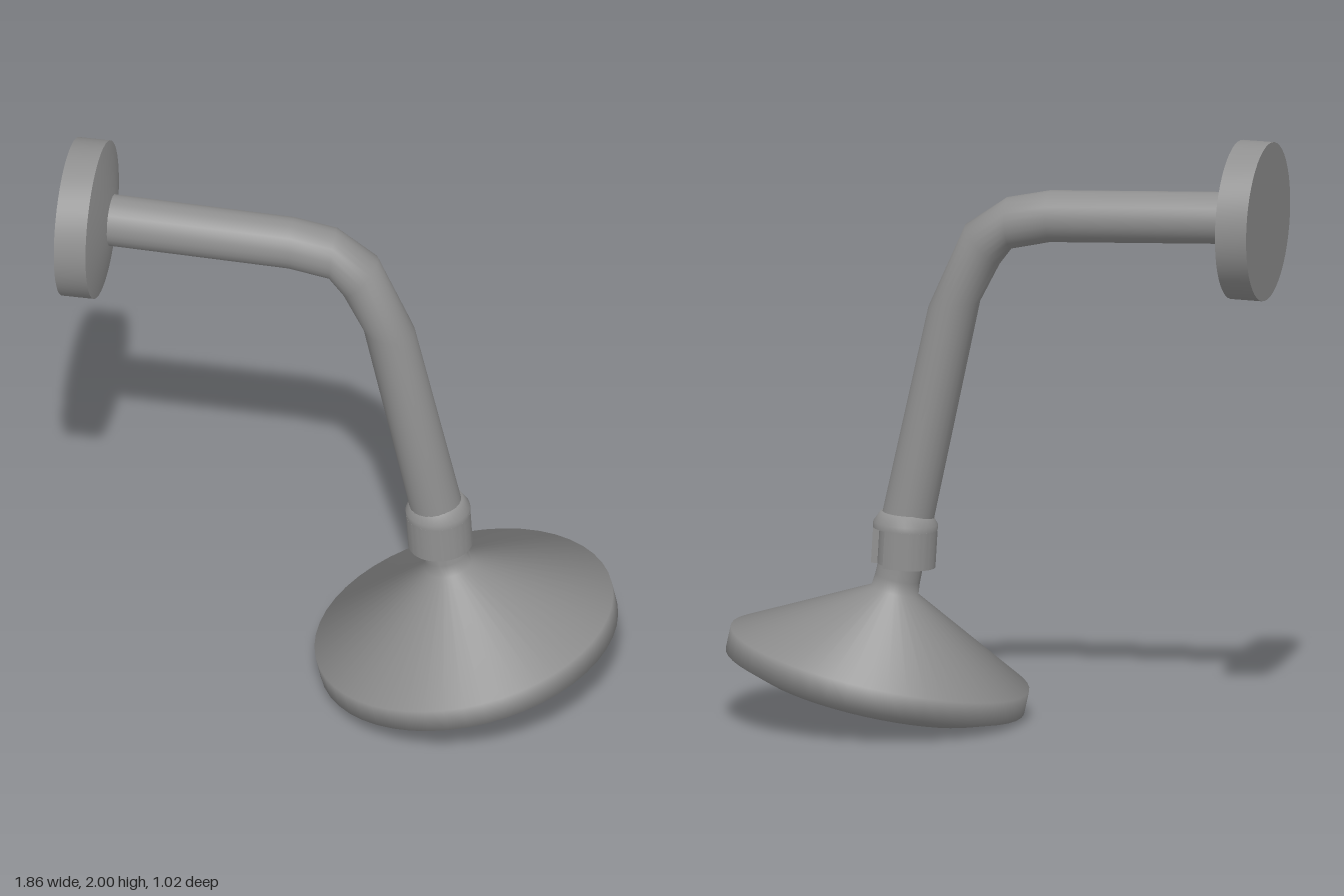
import * as THREE from 'three';
import { toCreasedNormals } from 'three/addons/utils/BufferGeometryUtils.js';

const material = new THREE.MeshStandardMaterial({ color: 0x909090, side: THREE.DoubleSide });

function part(name, geometry, parent, crease = 0.5) {
  const mesh = new THREE.Mesh(toCreasedNormals(geometry, crease), material);
  mesh.name = name;
  parent.add(mesh);
  return mesh;
}

// Turned part; profile runs from bottom to top as [radius, height]
function turned(profile, segments = 36) {
  return new THREE.LatheGeometry(profile.map(([r, y]) => new THREE.Vector2(r, y)), segments);
}

// Straight segments through stations [x, y, z, downward angle of the ring in degrees]
class BentPath extends THREE.Curve {
  constructor(stations) {
    super();
    this.stations = stations;
  }
  station(t) {
    return this.stations[Math.round(t * (this.stations.length - 1))];
  }
  getPointAt(t) {
    const [x, y, z] = this.station(t);
    return new THREE.Vector3(x, y, z);
  }
  getTangentAt(t) {
    const angle = THREE.MathUtils.degToRad(this.station(t)[3]);
    return new THREE.Vector3(Math.cos(angle), -Math.sin(angle), 0);
  }
}

export function createModel() {
  const model = new THREE.Group();
  model.name = 'showerHead';

  // Wall flange, its axis pointing out along +x
  const flange = part('wallFlange', turned([
    [0, 0], [0.266, 0], [0.266, 0.108], [0.09, 0.142], [0, 0.142],
  ], 48), model, 0.3);
  flange.position.set(-0.912, 1.733, -0.027);
  flange.quaternion.setFromUnitVectors(
    new THREE.Vector3(0, 1, 0),
    new THREE.Vector3(1, 0.025, 0.075).normalize(),
  );

  // Bent supply arm
  const path = new BentPath([
    [-0.8, 1.74, -0.018, 1], [-0.165, 1.72, 0.003, 2], [-0.025, 1.692, 0.005, 5],
    [0.068, 1.615, 0.015, 42], [0.165, 1.41, 0.021, 96], [0.325, 0.66, 0.003, 79],
  ]);
  part('arm', new THREE.TubeGeometry(path, 5, 0.087, 24), model, 1);

  // Swivel collar with a slot cut in one side
  const collar = new THREE.Group();
  collar.name = 'collar';
  collar.position.set(0.335, 0.522, 0);
  collar.rotation.z = 0.06;
  model.add(collar);
  part('collarTop', turned([[0, 0.125], [0.108, 0.125], [0.108, 0.145], [0.086, 0.18], [0, 0.18]]), collar, 1.1);
  part('collarCore', turned([[0, 0.004], [0.086, 0.004], [0.086, 0.13]]), collar);
  const start = THREE.MathUtils.degToRad(62);
  const end = THREE.MathUtils.degToRad(365);
  const ring = new THREE.Shape();
  ring.absarc(0, 0, 0.108, start, end, false);
  ring.absarc(0, 0, 0.08, end, start, true);
  ring.closePath();
  const skirt = new THREE.ExtrudeGeometry(ring, { depth: 0.126, bevelEnabled: false, curveSegments: 32 });
  part('collarSkirt', skirt.rotateX(-Math.PI / 2), collar);

  // Tilted spray head with its neck, shaded smoothly around the rim
  const head = new THREE.Group();
  head.name = 'sprayHead';
  head.position.set(0.439, 0.0895, 0);
  head.rotation.z = 0.216;
  model.add(head);
  part('headShell', turned([
    [0.405, 0], [0.509, 0.04], [0.509, 0.12], [0.08, 0.357], [0.076, 0.4], [0.075, 0.46], [0, 0.46],
  ], 48), head, 1.3);
  part('sprayFace', turned([[0, 0], [0.405, 0]], 48), head);

  return model;
}
